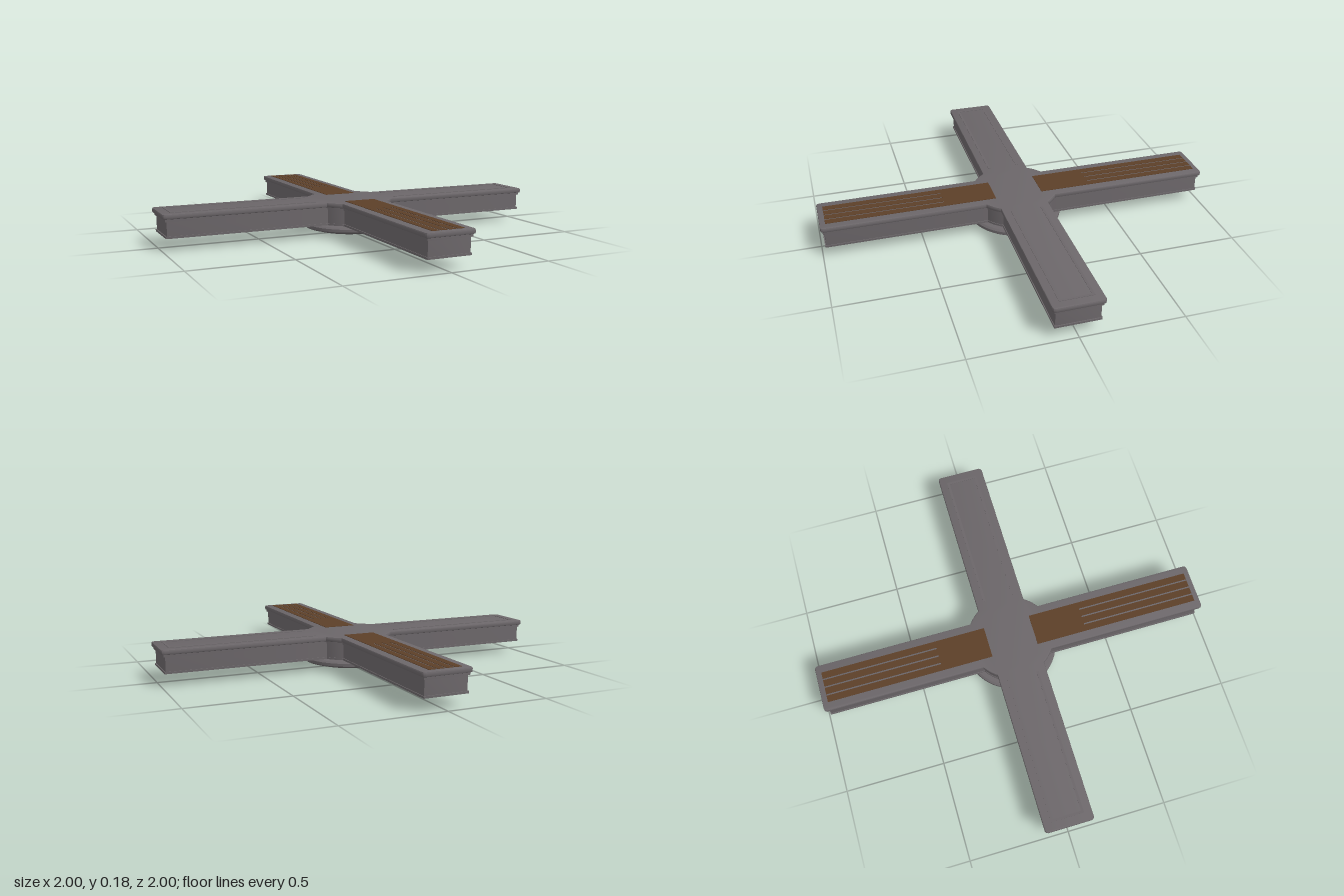
import * as THREE from 'three';
import { toCreasedNormals } from 'three/addons/utils/BufferGeometryUtils.js';

// Plus-shaped outline with a round hub, built one quarter turn at a time
function crossShape(len, half, hubRadius, corner) {
  const pts = [];
  const a0 = Math.asin(half / hubRadius);
  const a1 = Math.PI / 2 - a0;
  for (let k = 0; k < 4; k++) {
    const quarter = [
      [len - corner, -half], [len - corner * 0.3, -half + corner * 0.3], [len, -half + corner],
      [len, half - corner], [len - corner * 0.3, half - corner * 0.3], [len - corner, half],
    ];
    for (let i = 0; i <= 6; i++) {
      const a = a0 + (a1 - a0) * i / 6;
      quarter.push([hubRadius * Math.cos(a), hubRadius * Math.sin(a)]);
    }
    for (const [x, y] of quarter) {
      pts.push(new THREE.Vector2(x, y).rotateAround(new THREE.Vector2(), k * Math.PI / 2));
    }
  }
  return new THREE.Shape(pts);
}

// Upright slab between two heights, with an optional bevel inside the outline
function slab(shape, y0, y1, bevel = 0) {
  const geo = new THREE.ExtrudeGeometry(shape, {
    depth: y1 - y0 - 2 * bevel,
    bevelEnabled: bevel > 0,
    bevelThickness: bevel, bevelSize: bevel, bevelOffset: -bevel, bevelSegments: 2,
  });
  geo.rotateX(-Math.PI / 2);
  geo.translate(0, y0 + bevel, 0);
  return toCreasedNormals(geo, 0.5);
}

export function createModel() {
  const model = new THREE.Group();
  model.name = 'crossPlatform';
  const metal = new THREE.MeshStandardMaterial({ name: 'warm grey metal', color: 0x6b6669 });
  const wood = new THREE.MeshStandardMaterial({ name: 'brown slats', color: 0x5c3f28 });

  const add = (name, geo, mat, parent = model) => {
    const mesh = new THREE.Mesh(geo, mat);
    mesh.name = name;
    parent.add(mesh);
    return mesh;
  };
  const box = (name, mat, parent, w, h, d, x, y, z) =>
    add(name, new THREE.BoxGeometry(w, h, d), mat, parent).position.set(x, y, z);

  // Stacked cross-shaped layers: body, foot lip, moulding and overhanging cap
  add('body', slab(crossShape(0.98, 0.106, 0.2, 0.004), 0.066, 0.145), metal);
  add('footLip', slab(crossShape(0.985, 0.11, 0.203, 0.004), 0.062, 0.072), metal);
  add('moulding', slab(crossShape(0.988, 0.113, 0.207, 0.006), 0.142, 0.156), metal);
  add('cap', slab(crossShape(0.998, 0.122, 0.218, 0.014), 0.154, 0.178, 0.006), metal);

  // Dished disc under the hub
  const profile = [[0, 0], [0.08, 0.002], [0.13, 0.007], [0.185, 0.018], [0.228, 0.03],
    [0.235, 0.036], [0.235, 0.05], [0.226, 0.058], [0.2, 0.062], [0, 0.062]]
    .map(([x, y]) => new THREE.Vector2(x, y));
  add('hubDisc', toCreasedNormals(new THREE.LatheGeometry(profile, 48), 0.5), metal);
  // Round column between disc and cap
  const column = add('hubColumn', new THREE.CylinderGeometry(0.2, 0.2, 0.09, 48), metal);
  column.position.y = 0.105;

  for (const side of [1, -1]) {
    // Brown deck on the front and back arms: solid near the hub, four slats beyond
    const deck = new THREE.Group();
    deck.name = side > 0 ? 'frontDeck' : 'backDeck';
    model.add(deck);
    box('deckPlate', wood, deck, 0.16, 0.004, 0.26, 0, 0.178, side * 0.25);
    for (let i = 0; i < 4; i++) {
      box('slat', wood, deck, 0.034, 0.004, 0.59, (i - 1.5) * 0.042, 0.178, side * 0.675);
    }

    // Raised border on the left and right arms
    const border = new THREE.Group();
    border.name = side > 0 ? 'leftBorder' : 'rightBorder';
    model.add(border);
    for (const z of [-0.076, 0.076]) {
      box('borderRail', metal, border, 0.735, 0.004, 0.012, side * 0.5875, 0.178, z);
    }
    box('borderEnd', metal, border, 0.012, 0.004, 0.14, side * 0.949, 0.178, 0);
  }
  return model;
}
